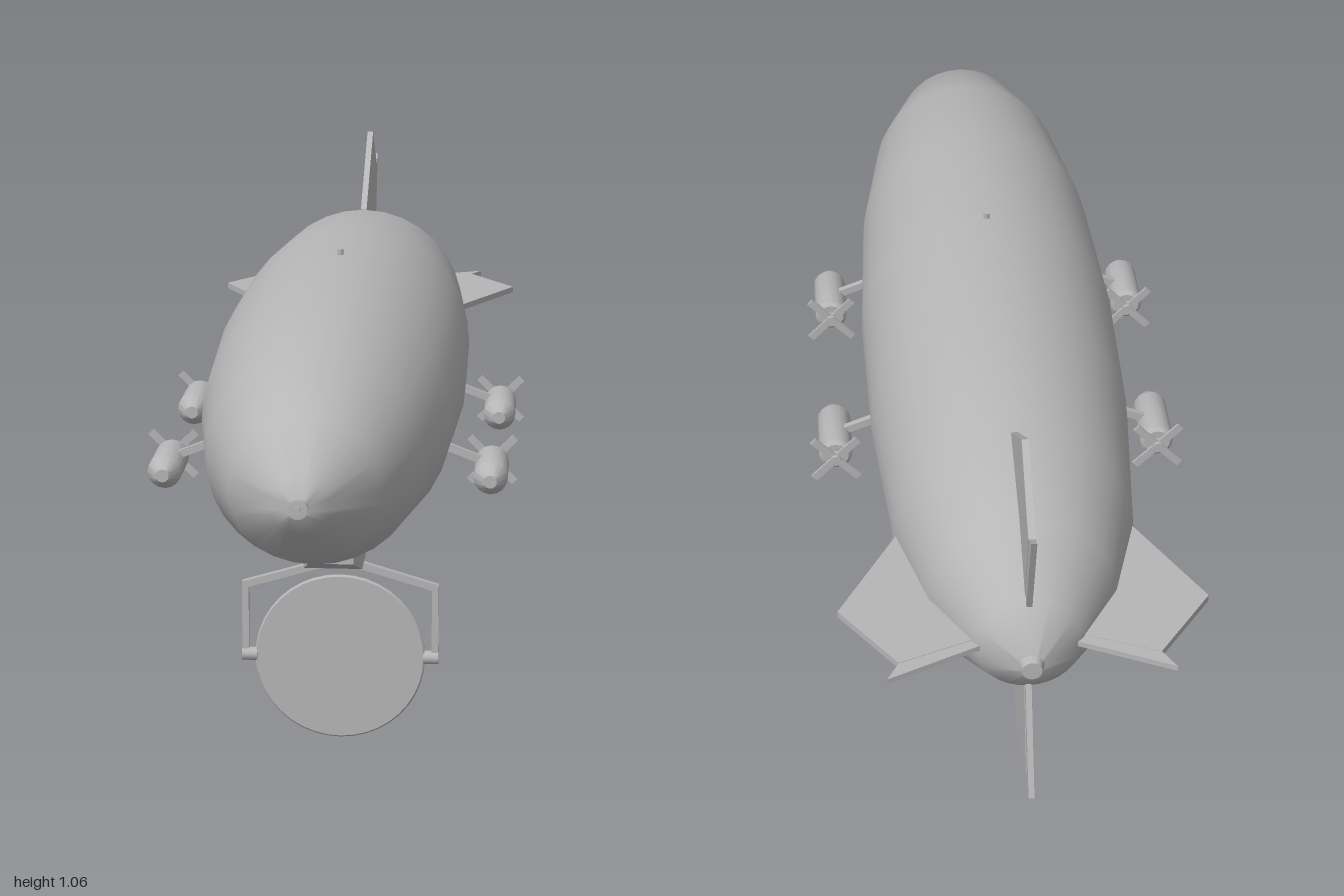
import * as THREE from 'three';
import { toCreasedNormals } from 'three/addons/utils/BufferGeometryUtils.js';

export function createModel() {
  const model = new THREE.Group();
  const grey = new THREE.MeshStandardMaterial({ color: 0xb6b6b6 });
  grey.name = 'plain grey';
  const AXIS = 0.722;

  const add = (parent, name, geo, x = 0, y = 0, z = 0) => {
    const mesh = new THREE.Mesh(geo, grey);
    mesh.name = name;
    mesh.position.set(x, y, z);
    parent.add(mesh);
    return mesh;
  };
  // Solid of revolution about z; profile is [radius, z] from back to front
  const turned = (profile, sides, crease = 0.6) => toCreasedNormals(
    new THREE.LatheGeometry(profile.map(p => new THREE.Vector2(...p)), sides).rotateX(Math.PI / 2), crease);
  // Straight bar between two points
  const bar = (parent, name, a, b, width, depth) => {
    const from = new THREE.Vector3(...a), to = new THREE.Vector3(...b);
    const dir = to.clone().sub(from);
    const mesh = add(parent, name, new THREE.BoxGeometry(width, dir.length(), depth));
    mesh.position.copy(from).add(to).multiplyScalar(0.5);
    mesh.quaternion.setFromUnitVectors(new THREE.Vector3(0, 1, 0), dir.normalize());
    return mesh;
  };

  // Envelope with nose and tail caps
  add(model, 'envelope', turned([
    [0, -0.975], [0.022, -0.973], [0.09, -0.914], [0.16, -0.79], [0.209, -0.604],
    [0.235, -0.273], [0.24, 0.064], [0.225, 0.406], [0.187, 0.674], [0.128, 0.861],
    [0.05, 0.957], [0.017, 0.985], [0, 0.987]], 32, 0.8), 0, AXIS, 0);
  add(model, 'noseCap', turned([[0, 0.97], [0.017, 0.97], [0.017, 0.993], [0.006, 0.994], [0.006, 1], [0, 1]], 16), 0, AXIS, 0);
  add(model, 'tailCap', turned([[0, -0.987], [0.017, -0.987], [0.024, -0.965], [0, -0.965]], 16), 0, AXIS, 0);
  add(model, 'topValve', new THREE.CylinderGeometry(0.006, 0.006, 0.02, 10), 0, 0.962, 0.06);

  // Tail fins with hinged trailing flaps; outlines are [distance from axis, z]
  const plate = (points, thickness) => new THREE.ExtrudeGeometry(
    new THREE.Shape(points.map(([r, z]) => new THREE.Vector2(-z, r))),
    { depth: thickness, bevelEnabled: false }).translate(0, 0, -thickness / 2).rotateY(Math.PI / 2);
  for (let i = 0; i < 4; i++) {
    const s = i % 2 ? -0.03 : 0;
    const fin = new THREE.Group();
    fin.name = ['topFin', 'leftFin', 'bottomFin', 'rightFin'][i];
    add(fin, 'finPanel', plate([[0.15, -0.6], [0.21 + s / 4, -0.604], [0.343 + s, -0.815],
      [0.247 + s, -0.957], [0.08, -0.9], [0.08, -0.8]], 0.012));
    add(fin, 'finFlap', plate([[0.247 + s, -0.957], [0.268 + s, -0.997], [0.075, -0.918], [0.085, -0.9]], 0.01));
    fin.position.y = AXIS;
    fin.rotation.z = -i * Math.PI / 2;
    model.add(fin);
  }

  // Engine pods, struts and four-bladed propellers
  const podShape = turned([[0, -0.075], [0.024, -0.075], [0.031, -0.068], [0.031, 0.047],
    [0.016, 0.074], [0.012, 0.078], [0, 0.078]], 16);
  for (const side of [-1, 1]) {
    for (const [x, z] of [[0.296, 0.345], [0.301, -0.135]]) {
      const engine = new THREE.Group();
      engine.name = (side > 0 ? 'left' : 'right') + (z > 0 ? 'Front' : 'Rear') + 'Engine';
      engine.position.set(side * x, 0.62, z);
      add(engine, 'pod', podShape);
      add(engine, 'propellerShaft', turned([[0, -0.094], [0.01, -0.094], [0.01, -0.07], [0, -0.07]], 12));
      for (const turn of [1, -1]) {
        const blade = add(engine, 'propellerBlades', new THREE.BoxGeometry(0.118, 0.014, 0.005), 0, 0, -0.085);
        blade.rotation.z = turn * Math.PI / 4;
      }
      bar(engine, 'strut', [0, 0.01, -0.015], [-side * 0.085, 0.043, -0.015], 0.014, 0.012);
      model.add(engine);
    }
  }

  // Gondola lofted through sections: [z, half width, bottom]
  const sections = [[-0.175, 0.042, 0.425], [-0.14, 0.055, 0.4], [0.25, 0.055, 0.4], [0.305, 0.042, 0.425]];
  const rings = sections.map(([z, w, b]) => [[-w, b, z], [w, b, z], [w, 0.51, z], [-w, 0.51, z]]);
  const verts = [];
  const quad = (a, b, c, d) => verts.push(...a, ...b, ...c, ...a, ...c, ...d);
  for (let i = 0; i < 3; i++) {
    for (let k = 0; k < 4; k++) {
      const n = (k + 1) % 4;
      quad(rings[i][k], rings[i][n], rings[i + 1][n], rings[i + 1][k]);
    }
  }
  quad(...rings[3]);
  quad(...[...rings[0]].reverse());
  const gondola = new THREE.BufferGeometry();
  gondola.setAttribute('position', new THREE.Float32BufferAttribute(verts, 3));
  gondola.computeVertexNormals();
  add(model, 'gondola', gondola);
  for (let i = 0; i < 5; i++) {
    add(model, 'gondolaSlat', new THREE.BoxGeometry(0.006, 0.004, 0.045), 0, 0.4, -0.1 + i * 0.075);
  }

  // Swivel mount and yoke under the gondola
  const Z = 0.065, DISH = 0.167;
  add(model, 'mountNeck', new THREE.CylinderGeometry(0.022, 0.022, 0.05, 20), 0, 0.38, Z);
  add(model, 'mountFlange', new THREE.CylinderGeometry(0.033, 0.033, 0.013, 24), 0, 0.378, Z);
  for (const side of [-1, 1]) {
    bar(model, 'yokeUpperArm', [side * 0.005, 0.363, Z], [side * 0.189, 0.309, Z], 0.014, 0.014);
    bar(model, 'yokeSideArm', [side * 0.185, 0.314, Z], [side * 0.185, 0.16, Z], 0.013, 0.012);
    const pivot = add(model, 'yokePivot', new THREE.CylinderGeometry(0.013, 0.013, 0.03, 16), side * 0.177, DISH, Z);
    pivot.rotation.z = Math.PI / 2;
  }

  // Dish: flat face forward, domed back with hub and ribs
  const dish = new THREE.Group();
  dish.name = 'dish';
  dish.position.set(0, DISH, 0);
  add(dish, 'dishShell', turned([[0, 0.03], [0.06, 0.034], [0.115, 0.045], [0.155, 0.061],
    [0.166, 0.067], [0.166, 0.071], [0.163, 0.074], [0, 0.074]], 40));
  add(dish, 'dishHub', turned([[0, 0.027], [0.025, 0.027], [0.03, 0.034], [0, 0.034]], 20));
  for (let i = 0; i < 4; i++) {
    const a = Math.PI / 4 + i * Math.PI / 2, c = Math.cos(a), s = Math.sin(a);
    bar(dish, 'dishRib', [0.02 * c, 0.02 * s, 0.031], [0.11 * c, 0.11 * s, 0.044], 0.005, 0.005);
    bar(dish, 'dishRib', [0.11 * c, 0.11 * s, 0.044], [0.155 * c, 0.155 * s, 0.061], 0.005, 0.005);
  }
  model.add(dish);
  return model;
}
